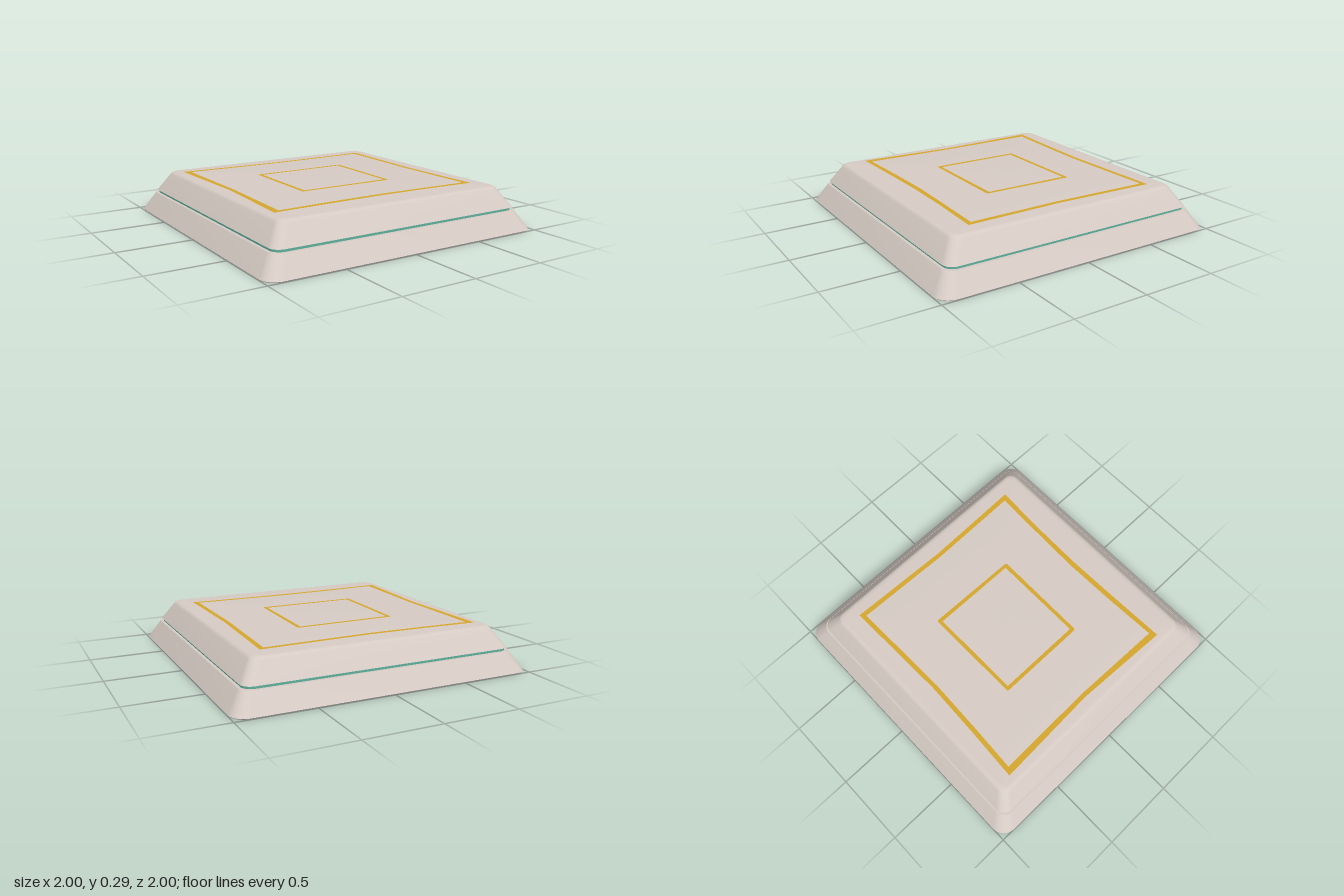
import * as THREE from 'three';
import { toCreasedNormals } from 'three/addons/utils/BufferGeometryUtils.js';

const body = new THREE.MeshStandardMaterial({ name: 'warm grey', color: 0xd6cbc4 });
const teal = new THREE.MeshStandardMaterial({ name: 'teal', color: 0x5fb09c });
const gold = new THREE.MeshStandardMaterial({ name: 'gold', color: 0xd6a72e });

const CORNER_STEPS = 8;

// Stacks rounded-square rings [halfSize, y, cornerRadius] from bottom to top
function roundedStack(rings) {
  const pos = [], index = [], n = 4 * (CORNER_STEPS + 1);
  for (const [s, y, r] of rings) {
    for (let q = 0; q < 4; q++) {
      const mid = (q + 0.5) * Math.PI / 2;
      const cx = Math.sign(Math.cos(mid)) * (s - r), cz = Math.sign(Math.sin(mid)) * (s - r);
      for (let i = 0; i <= CORNER_STEPS; i++) {
        const a = (q + i / CORNER_STEPS) * Math.PI / 2;
        pos.push(cx + r * Math.cos(a), y, cz + r * Math.sin(a));
      }
    }
  }
  for (let j = 0; j < rings.length - 1; j++) {
    for (let k = 0; k < n; k++) {
      const a = j * n + k, b = j * n + (k + 1) % n;
      if (rings[j][0] > 0) index.push(a, b + n, b);
      if (rings[j + 1][0] > 0) index.push(a, a + n, b + n);
    }
  }
  const g = new THREE.BufferGeometry();
  g.setAttribute('position', new THREE.Float32BufferAttribute(pos, 3));
  g.setIndex(index);
  return toCreasedNormals(g, 0.5);
}

// Flat outline between two loops of [x, z] points
function inlay(outer, inner, y) {
  const points = (loop) => loop.map(([x, z]) => new THREE.Vector2(x, -z));
  const shape = new THREE.Shape(points(outer));
  shape.holes.push(new THREE.Path(points(inner)));
  return new THREE.ShapeGeometry(shape).rotateX(-Math.PI / 2).translate(0, y, 0);
}

export function createModel() {
  const model = new THREE.Group();
  model.name = 'steppedPlinth';
  const add = (name, geometry, material) => {
    const mesh = new THREE.Mesh(geometry, material);
    mesh.name = name;
    model.add(mesh);
  };

  // Sloped lower tier
  add('lowerTier', roundedStack([
    [0, 0, 0], [0.995, 0, 0.1], [1, 0.006, 0.1], [0.92, 0.133, 0.075], [0, 0.133, 0],
  ]), body);

  // Recessed coloured band in the groove
  add('grooveBand', roundedStack([[0.9, 0.13, 0.065], [0.9, 0.156, 0.065]]), teal);

  // Sloped upper tier with a softened top edge
  add('upperTier', roundedStack([
    [0, 0.151, 0], [0.91, 0.151, 0.07], [0.832, 0.27, 0.06], [0.825, 0.279, 0.058],
    [0.816, 0.285, 0.055], [0.805, 0.288, 0.05], [0.79, 0.289, 0.045], [0, 0.289, 0],
  ]), body);

  // Outer inlay with bowed-in sides
  add('outerInlay', inlay(
    [[-0.76, -0.715], [-0.4, -0.695], [0, -0.68], [0.4, -0.69], [0.73, -0.7], [0.705, 0],
      [0.72, 0.665], [0.35, 0.647], [0, 0.64], [-0.35, 0.647], [-0.77, 0.66], [-0.735, 0]],
    [[-0.715, -0.68], [-0.4, -0.664], [0, -0.65], [0.4, -0.66], [0.695, -0.668], [0.675, 0],
      [0.685, 0.63], [0.35, 0.616], [0, 0.605], [-0.35, 0.612], [-0.725, 0.628], [-0.705, 0]],
    0.291), gold);

  // Small inner inlay
  add('innerInlay', inlay(
    [[-0.35, -0.34], [0.325, -0.345], [0.333, -0.335], [0.32, 0.285], [0.31, 0.292],
      [-0.35, 0.288], [-0.36, 0.28], [-0.355, -0.33]],
    [[-0.33, -0.315], [0.305, -0.32], [0.297, 0.264], [-0.333, 0.264]],
    0.291), gold);

  return model;
}
